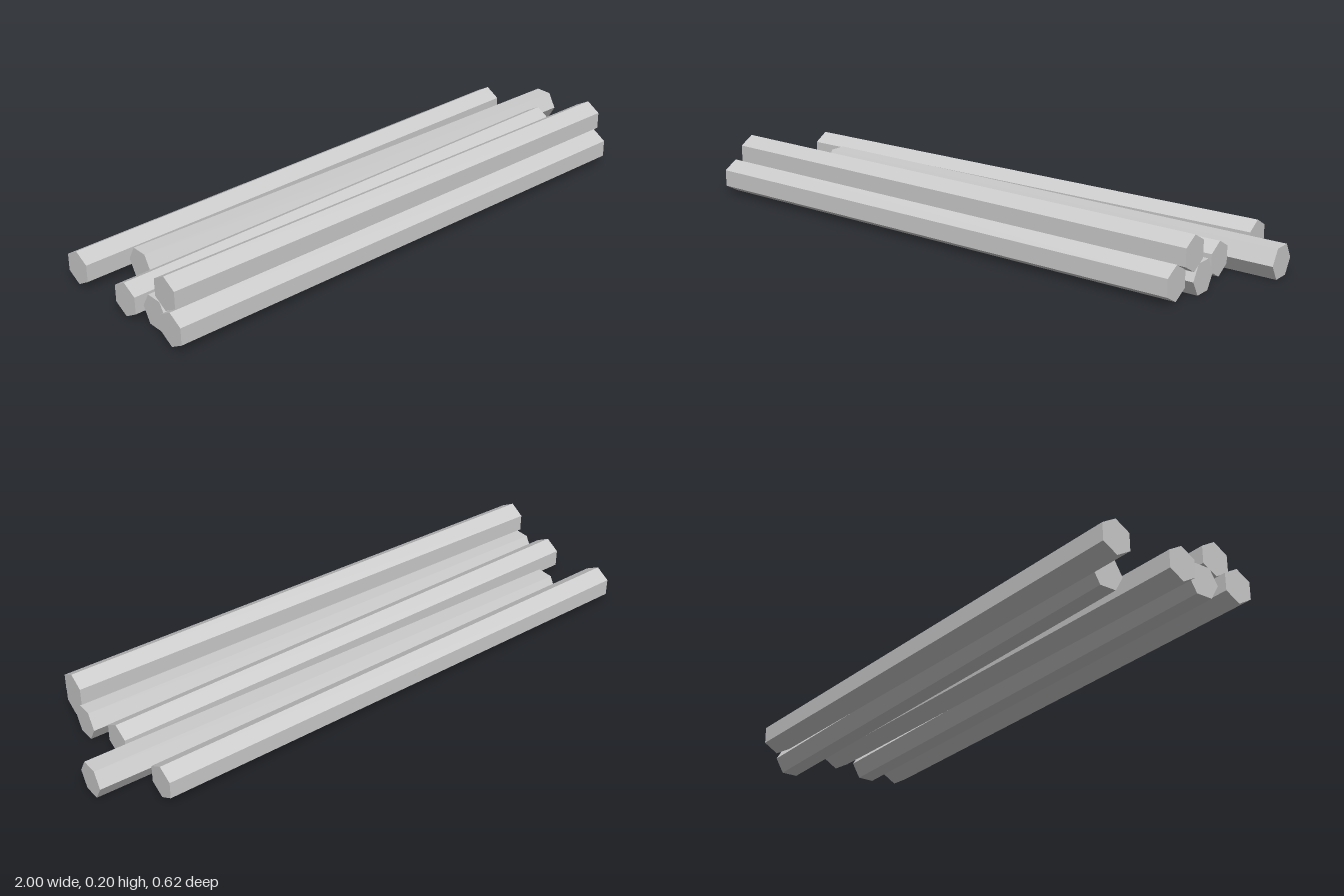
import * as THREE from 'three';

const RADIUS = 0.058;
const LENGTH = 1.838;

// Hexagonal bar along x; edgeUp puts a corner on top instead of a flat.
function barGeometry(edgeUp) {
  const g = new THREE.CylinderGeometry(RADIUS, RADIUS, LENGTH, 6);
  if (edgeUp) g.rotateY(Math.PI / 6);
  return g.rotateZ(-Math.PI / 2);
}

export function createModel() {
  const group = new THREE.Group();
  group.name = 'barPile';
  const material = new THREE.MeshStandardMaterial({ color: 0xcccccc, flatShading: true });
  const edgeUp = barGeometry(true);
  const flatUp = barGeometry(false);

  // name, geometry, centre x, centre y, z at the -x end, z at the +x end
  const bars = [
    ['backBar', edgeUp, -0.08, 0.059, -0.258, -0.258],
    ['backSlantedBar', flatUp, 0.076, 0.051, -0.152, -0.112],
    ['middleBar', edgeUp, -0.08, 0.059, -0.005, -0.005],
    ['frontSlantedBar', flatUp, -0.053, 0.051, 0.105, 0.146],
    ['frontBar', edgeUp, -0.08, 0.059, 0.221, 0.259],
    ['topBar', edgeUp, -0.053, 0.142, 0.162, 0.204],
  ];
  for (const [name, geometry, x, y, z0, z1] of bars) {
    const bar = new THREE.Mesh(geometry, material);
    bar.name = name;
    bar.position.set(x, y, (z0 + z1) / 2);
    bar.rotation.y = -Math.asin((z1 - z0) / LENGTH);
    group.add(bar);
  }
  return group;
}
